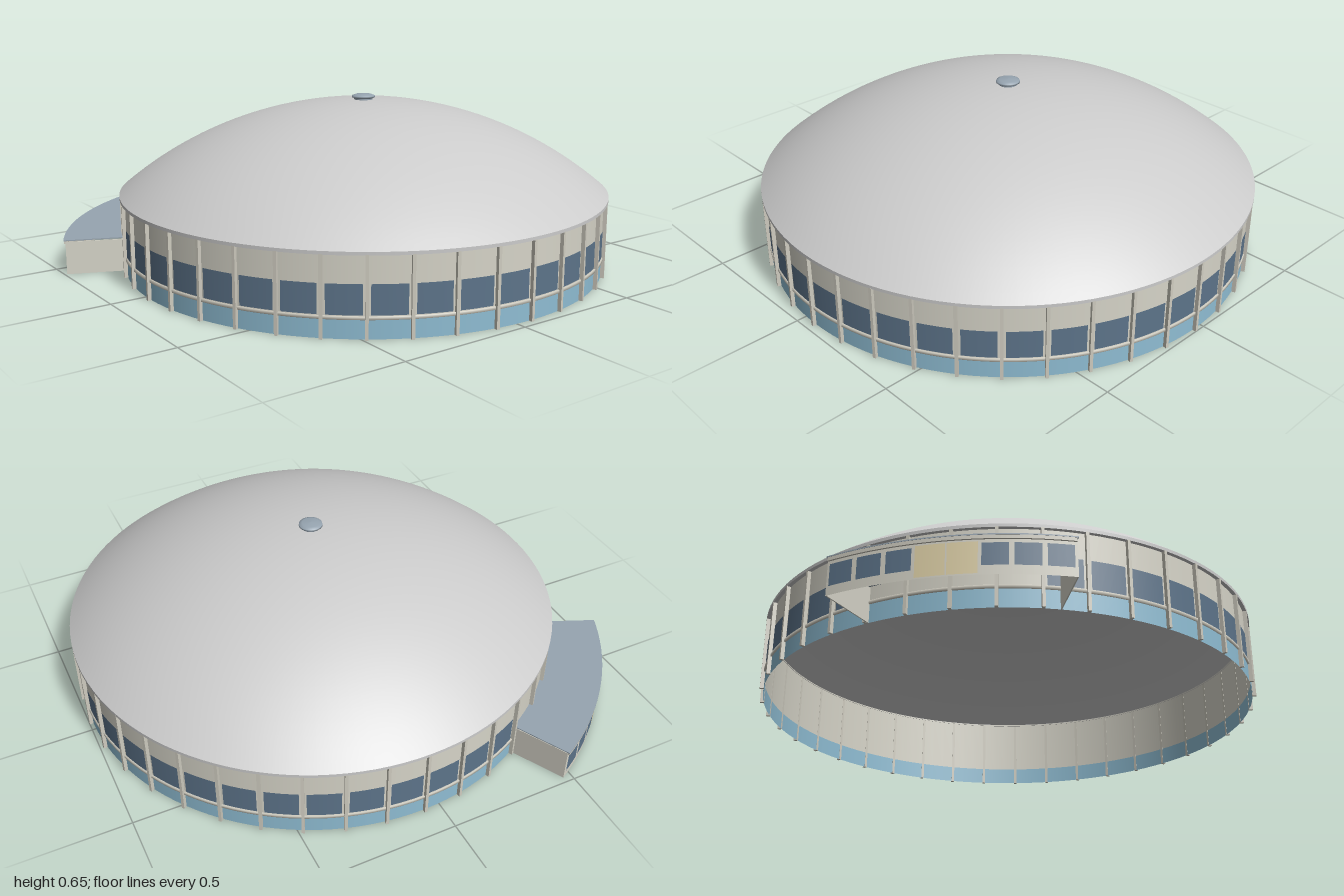
import * as THREE from 'three';

const RAD = Math.PI / 180;
const BAYS = 40, WALL_R = 0.926, ROOF_R = 0.94, EAVE_Y = 0.285, APEX_Y = 0.63;
const ANNEX = { from: 113.5, to: 152.5, inner: 0.926, outer: 1.145, height: 0.125, bays: 8 };

const mat = (color, side = THREE.FrontSide) => new THREE.MeshStandardMaterial({ color, side });
const roofGrey = mat(0xcccccc, THREE.DoubleSide);
const cream = mat(0xd6d4c8, THREE.DoubleSide);
const trim = mat(0xcfccc0);
const blue = mat(0x8fbdd3, THREE.DoubleSide);
const glass = mat(0x5d748a);
const slate = mat(0x97a5b1, THREE.DoubleSide);
const doorTan = mat(0xe0d2a8);

function add(parent, name, geometry, material) {
  const mesh = new THREE.Mesh(geometry, material);
  mesh.name = name;
  parent.add(mesh);
  return mesh;
}

// Curved upright strip; angles in degrees run from +x towards +z
function strip(r, y0, y1, a0, a1, segments) {
  const g = new THREE.CylinderGeometry(r, r, y1 - y0, segments, 1, true, (90 - a1) * RAD, (a1 - a0) * RAD);
  return g.translate(0, (y0 + y1) / 2, 0);
}

// Flat ring sector of a given thickness with its top at yTop
function sector(r0, r1, a0, a1, yTop, thickness) {
  const s = new THREE.Shape();
  s.absarc(0, 0, r1, a0 * RAD, a1 * RAD, false);
  s.absarc(0, 0, r0, a1 * RAD, a0 * RAD, true);
  const g = new THREE.ExtrudeGeometry(s, { depth: thickness, bevelEnabled: false, curveSegments: 24 });
  return g.rotateX(Math.PI / 2).translate(0, yTop, 0);
}

// Upright bar standing on the circle of radius r at angle a
function post(w, h, d, r, a, y) {
  return new THREE.BoxGeometry(w, h, d).translate(0, y, r).rotateY((90 - a) * RAD);
}

function lathe(points, segments) {
  return new THREE.LatheGeometry(points.map(([x, y]) => new THREE.Vector2(x, y)), segments);
}

function buildRoof() {
  const roof = new THREE.Group();
  roof.name = 'roof';
  // Shallow spherical cap
  const rise = APEX_Y - EAVE_Y - 0.006;
  const R = (ROOF_R ** 2 + rise ** 2) / (2 * rise);
  const half = Math.asin(ROOF_R / R);
  const profile = [];
  for (let i = 0; i <= 24; i++) {
    const t = half * (1 - i / 24);
    profile.push([R * Math.sin(t), APEX_Y - R + R * Math.cos(t)]);
  }
  add(roof, 'dome', lathe(profile, 120), roofGrey);
  // Eave edge and soffit
  add(roof, 'eaveEdge', strip(ROOF_R, EAVE_Y - 0.006, EAVE_Y + 0.006, 0, 360, 120), roofGrey);
  const soffit = new THREE.RingGeometry(WALL_R - 0.002, ROOF_R, 120).rotateX(Math.PI / 2);
  add(roof, 'soffit', soffit.translate(0, EAVE_Y - 0.006, 0), roofGrey);
  // Vent cap at the top
  add(roof, 'ventNeck', new THREE.CylinderGeometry(0.036, 0.036, 0.014, 32).translate(0, APEX_Y, 0), slate);
  add(roof, 'ventCap', lathe([[0.036, 0.634], [0.045, 0.638], [0.044, 0.644], [0.032, 0.649], [0, 0.651]], 32), slate);
  return roof;
}

function buildWall() {
  const wall = new THREE.Group();
  wall.name = 'wall';
  add(wall, 'wallPanel', strip(WALL_R, 0.066, EAVE_Y, 0, 360, 120), cream);
  add(wall, 'lowerBand', strip(WALL_R, 0, 0.066, 0, 360, 120), blue);
  add(wall, 'sill', lathe([[WALL_R, 0.066], [0.932, 0.066], [0.932, 0.077], [WALL_R, 0.077]], 120), trim);

  const step = 360 / BAYS;
  for (let i = 0; i < BAYS; i++) {
    const a = i * step;
    add(wall, 'pilaster', post(0.011, EAVE_Y - 0.004, 0.015, 0.9325, a, (EAVE_Y - 0.004) / 2), trim);
    // No windows where the entrance annex joins
    const mid = a + step / 2;
    if (mid > ANNEX.from + 3 && mid < ANNEX.to) continue;
    add(wall, 'window', strip(WALL_R + 0.002, 0.08, 0.183, a + 0.8, a + step - 0.8, 4), glass);
  }
  return wall;
}

function buildAnnex() {
  const annex = new THREE.Group();
  annex.name = 'entranceAnnex';
  const { from, to, inner, outer, height, bays } = ANNEX;
  add(annex, 'annexFrontWall', strip(outer, 0, height, from, to, 24), cream);
  for (const a of [from, to]) {
    add(annex, 'annexSideWall', post(0.004, height, outer - inner, (inner + outer) / 2, a, height / 2), cream);
  }
  add(annex, 'annexRoof', sector(inner, outer + 0.007, from - 0.2, to + 0.2, height + 0.008, 0.004), slate);
  add(annex, 'annexFascia', sector(outer - 0.01, outer + 0.006, from, to, height + 0.004, 0.012), trim);

  // Windows either side of a central pair of doors
  const step = (to - from) / bays;
  for (let i = 0; i < bays; i++) {
    const a0 = from + i * step, a1 = a0 + step;
    const isDoor = i === 3 || i === 4;
    if (isDoor) add(annex, 'door', strip(outer + 0.002, 0.004, 0.11, a0 + 0.12, a1 - 0.12, 3), doorTan);
    else add(annex, 'annexWindow', strip(outer + 0.002, 0.03, 0.105, a0 + 0.4, a1 - 0.4, 3), glass);
  }
  return annex;
}

export function createModel() {
  const model = new THREE.Group();
  model.name = 'domedHall';
  model.add(buildRoof(), buildWall(), buildAnnex());
  model.position.set(0.038, 0, -0.06);
  const root = new THREE.Group();
  root.add(model);
  return root;
}
